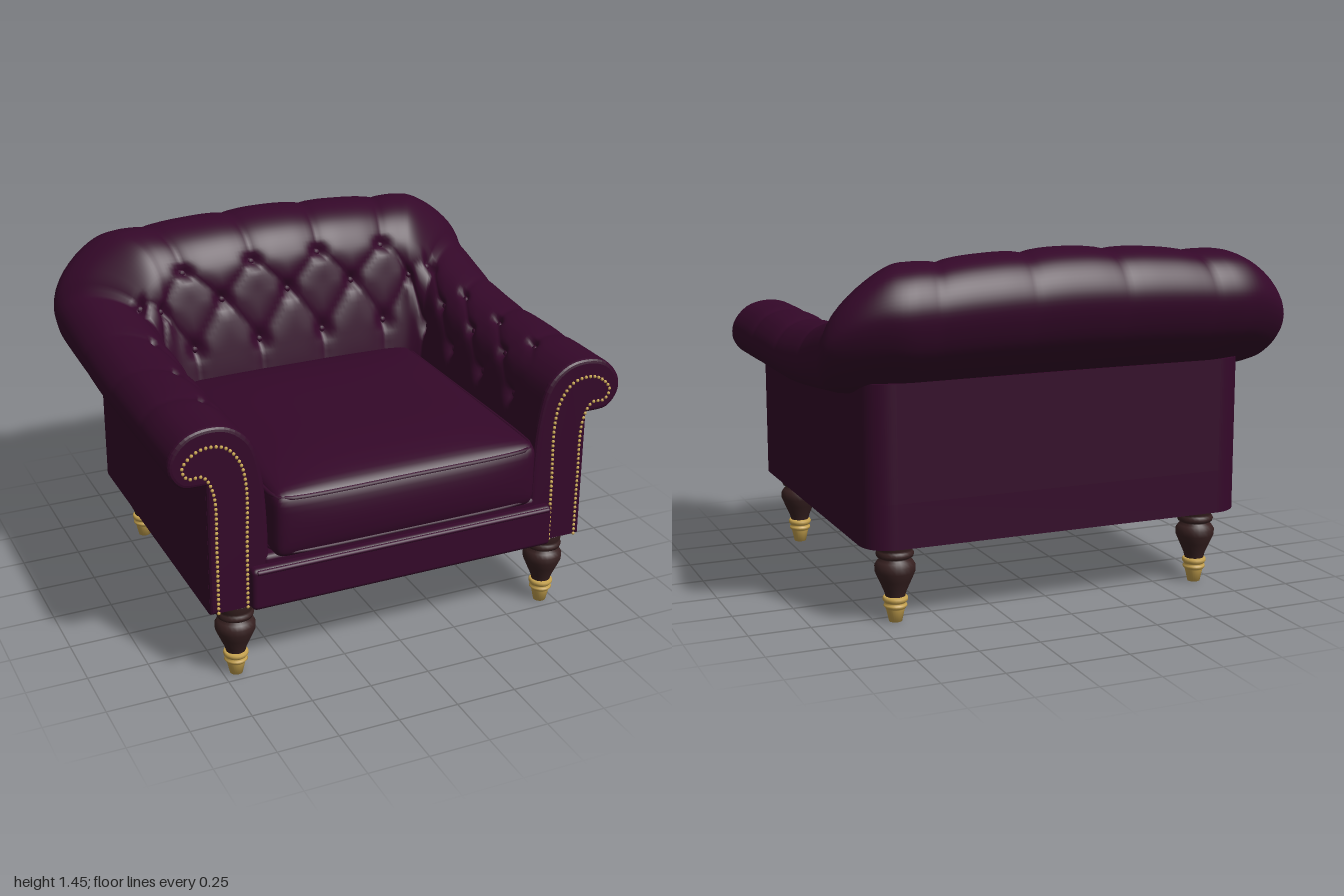
import * as THREE from 'three';
import { mergeVertices } from 'three/addons/utils/BufferGeometryUtils.js';
import { RoundedBoxGeometry } from 'three/addons/geometries/RoundedBoxGeometry.js';

const velvet = new THREE.MeshStandardMaterial({ name: 'plum velvet', color: 0x340829 });
const wood = new THREE.MeshStandardMaterial({ name: 'dark wood', color: 0x362020 });
const brass = new THREE.MeshStandardMaterial({ name: 'brass', color: 0xc8a450 });
const { lerp, smoothstep, clamp } = THREE.MathUtils;

function add(parent, name, geo, mat, x = 0, y = 0, z = 0) {
  const mesh = new THREE.Mesh(geo, mat);
  mesh.name = name;
  mesh.position.set(x, y, z);
  parent.add(mesh);
  return mesh;
}

// Smooth profiles of the arm (x, y) and the back (-z, y), from the seat over the roll to its underside
const spline = pts => new THREE.CatmullRomCurve3(pts.map(([x, y]) => new THREE.Vector3(x, y, 0)));
const armCurve = spline([[.575, .4], [.58, .7], [.6, .9], [.64, 1.03], [.72, 1.1], [.81, 1.115],
  [.9, 1.09], [.96, 1.02], [.965, .95], [.92, .89], [.86, .88], [.78, .885]]);
const backCurve = spline([[.3, .4], [.31, .75], [.34, .95], [.38, 1.15], [.415, 1.3], [.5, 1.41],
  [.64, 1.455], [.78, 1.415], [.853, 1.29], [.82, 1.14], [.73, 1.025], [.62, .93]]);
const ROWS = 88, COLS = 256, A_END = 6.4, A_BACK = 1.73, A_ARM = 2.57, FRONT = .74;

// Point on a U-shaped plan; a counts tufting columns from the centre of the back
function planPoint(a, hx, zBack, r) {
  const t = Math.abs(a), sd = Math.sign(a);
  if (t < A_BACK) return [sd * (hx - r) * t / A_BACK, zBack];
  if (t < A_ARM) {
    const q = (t - A_BACK) / (A_ARM - A_BACK) * Math.PI / 2;
    return [sd * (hx - r + r * Math.sin(q)), zBack + r - r * Math.cos(q)];
  }
  return [sd * hx, lerp(zBack + r, FRONT, (t - A_ARM) / (A_END - A_ARM))];
}

// Depth of the buttoned diamond creases at column a and profile position p
function tuftDepth(a, p) {
  const t = Math.abs(a);
  const near = v => Math.abs(v - Math.round(v));
  const fade = (1 - smoothstep(t, 5.5, 5.9)) * smoothstep(p, .6, 1.6) * (1 - smoothstep(p, 5, 10));
  const q = clamp(p, 2, 4) - 4;
  const d = Math.min(near(t - q / 2 - .5), near(t + q / 2 - .5));
  const soft = t < A_ARM ? 1 : .5;
  let depth = soft * (.007 * Math.exp(-((d / .05) ** 2)) + .009 * Math.exp(-((d / .2) ** 2)));
  for (const row of [2, 3, 4]) {
    const da = near(row === 3 ? t : t - .5), dp = (p - row) * .6;
    depth += .035 * Math.exp(-(da * da + dp * dp) / .012);
  }
  return depth * fade;
}

// Arms and back swept as one tufted shell, swelling outward at the corners
function tuftedShell() {
  const arm = armCurve.getPoints(ROWS), back = backCurve.getPoints(ROWS);
  const pos = [], idx = [];
  for (let i = 0; i <= COLS; i++) {
    const a = lerp(-A_END, A_END, i / COLS), t = Math.abs(a);
    const u = t < A_BACK ? 3 - t / A_BACK : t < A_ARM ? 2 - (t - A_BACK) / (A_ARM - A_BACK)
      : 1 - (t - A_ARM) / (A_END - A_ARM);
    const w = smoothstep(u, .5, 1.8) * lerp(.9, 1, smoothstep(u, 1.6, 3));
    const swell = Math.sign(a) * .05 * Math.exp(-(((u - 1.2) / .35) ** 2));
    const [ix, iz] = planPoint(a, .57, -.3, .06), [ox, oz] = planPoint(a, .82, -.68, .2);
    for (let j = 0; j <= ROWS; j++) {
      const s = lerp((arm[j].x - .57) / .25, (back[j].x - .3) / .38, w);
      pos.push(lerp(ix, ox, s) + swell * smoothstep(s, .4, 1.5), lerp(arm[j].y, back[j].y, w), lerp(iz, oz, s));
      if (i < COLS && j < ROWS) {
        const k = i * (ROWS + 1) + j, n = k + ROWS + 1;
        idx.push(k, n, k + 1, n, n + 1, k + 1);
      }
    }
  }
  const geo = new THREE.BufferGeometry();
  geo.setAttribute('position', new THREE.Float32BufferAttribute(pos, 3));
  geo.setIndex(idx);
  geo.computeVertexNormals();
  const P = geo.attributes.position, N = geo.attributes.normal;
  for (let k = 0; k < P.count; k++) {
    const i = Math.floor(k / (ROWS + 1)), j = k % (ROWS + 1);
    const d = tuftDepth(lerp(-A_END, A_END, i / COLS), j * 11 / ROWS);
    P.setXYZ(k, P.getX(k) - N.getX(k) * d, P.getY(k) - N.getY(k) * d, P.getZ(k) - N.getZ(k) * d);
  }
  geo.computeVertexNormals();
  return geo;
}

// Soft box with a crowned top and a slightly bulging front
function cushionGeometry(w, h, d, r) {
  let geo = new THREE.BoxGeometry(2, 2, 2, 28, 14, 28);
  geo.deleteAttribute('uv');
  geo.deleteAttribute('normal');
  geo = mergeVertices(geo);
  const P = geo.attributes.position, half = new THREE.Vector3(w / 2, h / 2, d / 2);
  const v = new THREE.Vector3(), core = new THREE.Vector3(), lim = half.clone().subScalar(r);
  for (let i = 0; i < P.count; i++) {
    v.fromBufferAttribute(P, i);
    v.set(...v.toArray().map(c => Math.sin(c * Math.PI / 2))).multiply(half);
    core.copy(v).clamp(lim.clone().negate(), lim);
    v.sub(core).setLength(r).add(core);
    const fx = 1 - (v.x / half.x) ** 4, fy = 1 - (v.y / half.y) ** 2, fz = 1 - (v.z / half.z) ** 4;
    if (v.y > 0) v.y += .05 * fx * fz * v.y / half.y;
    if (v.z > 0) v.z += .025 * fx * Math.max(fy, 0) * v.z / half.z;
    P.setXYZ(i, v.x, v.y, v.z);
  }
  geo.computeVertexNormals();
  return geo;
}

// Frame plan with rounded back corners; a wall thickness leaves it open to the front
function frameGeometry(height, wall) {
  const hx = .82, back = .68, front = -.75, r = .12;
  const s = new THREE.Shape();
  s.moveTo(hx, front);
  s.lineTo(hx, back - r);
  s.absarc(hx - r, back - r, r, 0, Math.PI / 2);
  s.absarc(-hx + r, back - r, r, Math.PI / 2, Math.PI);
  s.lineTo(-hx, front);
  if (wall) {
    s.lineTo(-hx + wall, front);
    s.lineTo(-hx + wall, back - wall);
    s.lineTo(hx - wall, back - wall);
    s.lineTo(hx - wall, front);
  }
  return new THREE.ExtrudeGeometry(s, { depth: height, bevelEnabled: false, curveSegments: 12 }).rotateX(-Math.PI / 2);
}

export function createModel() {
  const chair = new THREE.Group();
  chair.name = 'armchair';

  // Frame: solid base and outer walls
  add(chair, 'base', frameGeometry(.18, 0), velvet, 0, .325, 0);
  add(chair, 'outerWalls', frameGeometry(.465, .14), velvet, 0, .505, 0);

  // Tufted arms and back with buttons
  const shell = tuftedShell();
  add(chair, 'tuftedBackAndArms', shell, velvet);
  const buttons = new THREE.Group();
  buttons.name = 'buttons';
  chair.add(buttons);
  const buttonGeo = new THREE.SphereGeometry(.018, 10, 8);
  for (const row of [2, 3, 4]) {
    for (let a = row === 3 ? -5 : -5.5; a <= 5.5; a++) {
      const k = Math.round((a + A_END) / (2 * A_END) * COLS) * (ROWS + 1) + row * 8;
      const p = new THREE.Vector3().fromBufferAttribute(shell.attributes.position, k);
      add(buttons, 'button', buttonGeo, velvet, p.x, p.y, p.z);
    }
  }

  // Seat cushion with piping and front rail
  add(chair, 'seatCushion', cushionGeometry(1.14, .28, 1.19, .05), velvet, 0, .67, .225);
  for (const y of [.56, .79]) {
    const pipe = new THREE.CatmullRomCurve3([[-.562, -.3], [-.562, .74], [-.55, .79], [-.5, .812],
      [0, .822], [.5, .812], [.55, .79], [.562, .74], [.562, -.3]].map(([x, z]) => new THREE.Vector3(x, y, z)));
    add(chair, 'cushionPiping', new THREE.TubeGeometry(pipe, 60, .009, 6), velvet);
  }
  add(chair, 'frontRail', new RoundedBoxGeometry(1.32, .18, .3, 3, .02), velvet, 0, .415, .655);
  add(chair, 'railPiping', new THREE.CylinderGeometry(.01, .01, 1.28, 8).rotateZ(Math.PI / 2), velvet, 0, .492, .805);
  add(chair, 'seatDeck', new RoundedBoxGeometry(1.2, .06, 1.1, 2, .02), velvet, 0, .51, .22);

  // Arm fronts with scroll panels and nail heads
  const nailGeo = new THREE.SphereGeometry(.0075, 6, 4);
  const section = armCurve.getPoints(44).slice(0, 41).map(p => [p.x, p.y]);
  section.push([.82, .88], [.82, .325], [.575, .325]);
  const hook = [[.67, .335], [.668, .6], [.667, .86], [.69, .96], [.75, 1.03], [.85, 1.035], [.915, .975],
    [.895, .93], [.835, .925], [.797, .85], [.79, .6], [.79, .335]];
  for (const sd of [1, -1]) {
    const arm = new THREE.Group();
    arm.name = sd > 0 ? 'leftArmFront' : 'rightArmFront';
    chair.add(arm);
    const flat = pts => new THREE.Shape(pts.map(([x, y]) => new THREE.Vector2(sd * x, y)));
    add(arm, 'armEnd', new THREE.ExtrudeGeometry(flat(section), { depth: .04, bevelThickness: .018,
      bevelSize: .018, bevelOffset: -.018, bevelSegments: 3 }), velvet, 0, 0, .708);
    const curve = spline(hook);
    add(arm, 'scrollPanel', new THREE.ExtrudeGeometry(flat(curve.getPoints(66).map(p => [p.x, p.y])),
      { depth: .008, bevelEnabled: false }), velvet, 0, 0, .763);
    for (const p of curve.getSpacedPoints(80)) add(arm, 'nailHead', nailGeo, brass, sd * p.x, p.y, .771);
  }

  // Turned legs with brass feet
  const lathe = pts => new THREE.LatheGeometry(pts.map(([r, y]) => new THREE.Vector2(r, y)), 24);
  const legGeo = lathe([[.038, .098], [.045, .125], [.065, .17], [.08, .205], [.081, .23], [.07, .247], [.056, .255],
    [.06, .262], [.072, .266], [.076, .278], [.07, .288], [.066, .295], [.073, .302], [.076, .33]]);
  const footGeo = lathe([[0, 0], [.026, 0], [.037, .05], [.041, .056], [.047, .063], [.046, .07], [.039, .075],
    [.044, .08], [.05, .088], [.05, .097], [.045, .104], [0, .106]]);
  for (const sd of [1, -1]) {
    for (const [x, z, name] of [[.695, .69, 'frontLeg'], [.67, -.55, 'backLeg']]) {
      const leg = new THREE.Group();
      leg.name = name;
      leg.position.set(sd * x, 0, z);
      chair.add(leg);
      add(leg, 'turnedLeg', legGeo, wood);
      add(leg, 'brassFoot', footGeo, brass);
    }
  }
  return chair;
}
